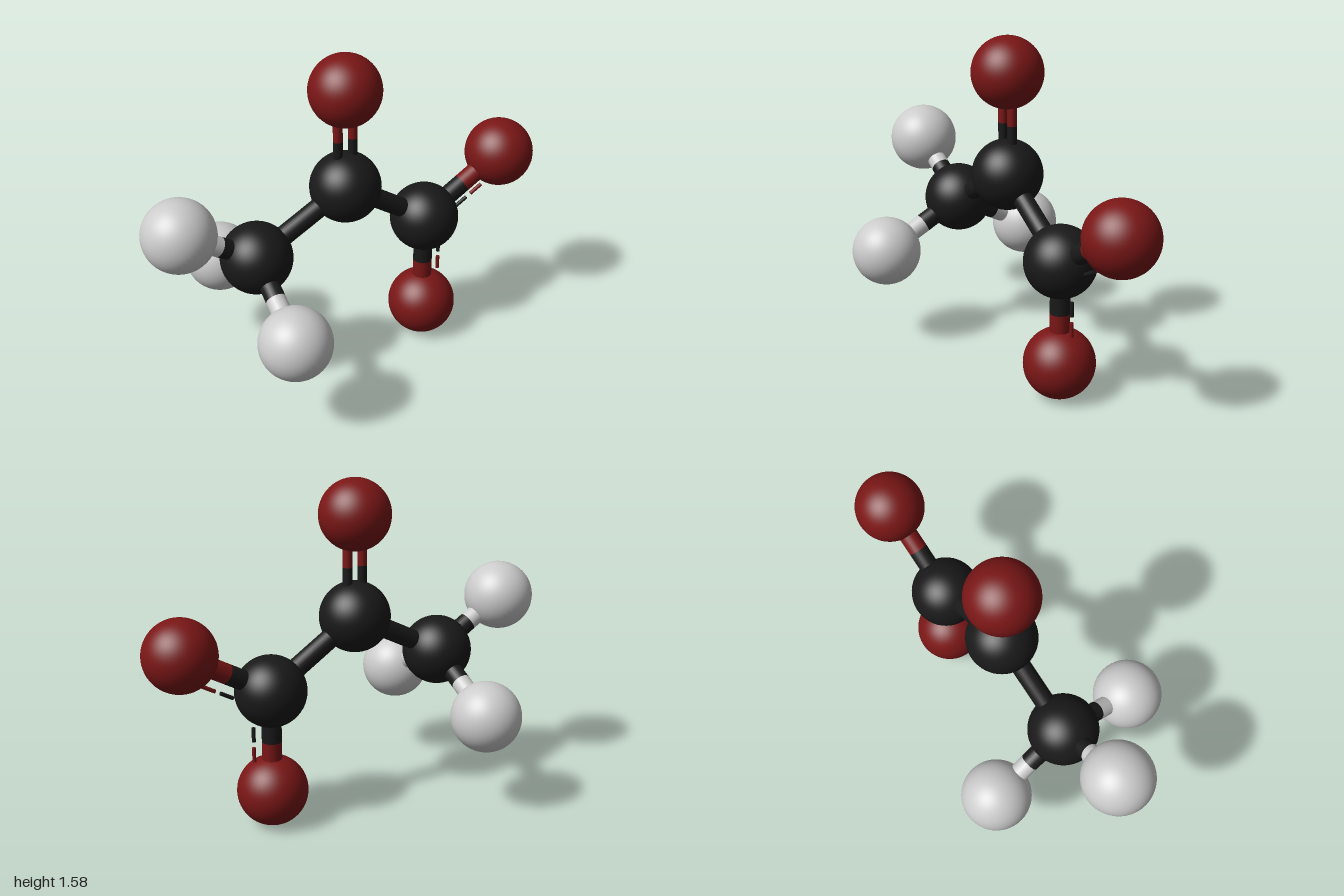
import * as THREE from 'three';

const ATOM_R = 0.165, BOND_R = 0.046, THIN_R = 0.022, DASH_R = 0.009;

const materials = {
  carbon: new THREE.MeshStandardMaterial({ color: 0x191919 }),
  oxygen: new THREE.MeshStandardMaterial({ color: 0x7a1616 }),
  hydrogen: new THREE.MeshStandardMaterial({ color: 0xcccccc }),
};

const atom = (name, element, x, y, z = 0) => ({ name, element, pos: new THREE.Vector3(x, y, z) });

const atoms = {
  methyl: atom('methylCarbon', 'carbon', -0.48, 0.7),
  middle: atom('middleCarbon', 'carbon', -0.024, 0.94),
  end: atom('endCarbon', 'carbon', 0.41, 0.657),
  top: atom('topOxygen', 'oxygen', -0.024, 1.415),
  side: atom('sideOxygen', 'oxygen', 0.832, 0.9),
  bottom: atom('bottomOxygen', 'oxygen', 0.412, 0.168),
  hOuter: atom('outerHydrogen', 'hydrogen', -0.835, 0.922),
  hFront: atom('frontHydrogen', 'hydrogen', -0.494, 0.49, 0.4),
  hBack: atom('backHydrogen', 'hydrogen', -0.494, 0.49, -0.4),
};

// Cylinder covering the fractions t0..t1 of the line from a to b, shifted by offset
function rod(name, a, b, t0, t1, radius, element, offset) {
  const start = a.clone().lerp(b, t0).add(offset);
  const end = a.clone().lerp(b, t1).add(offset);
  const dir = end.clone().sub(start);
  const mesh = new THREE.Mesh(new THREE.CylinderGeometry(radius, radius, dir.length(), 24), materials[element]);
  mesh.position.copy(start).lerp(end, 0.5);
  mesh.quaternion.setFromUnitVectors(new THREE.Vector3(0, 1, 0), dir.normalize());
  mesh.name = name;
  return mesh;
}

// Bond with one half in each atom's colour; shift moves it sideways in the xy plane
function bond(name, from, to, { radius = BOND_R, shift = 0, spans = [[0, 0.5], [0.5, 1]] } = {}) {
  const group = new THREE.Group();
  group.name = name;
  const dir = to.pos.clone().sub(from.pos).normalize();
  const offset = new THREE.Vector3(-dir.y, dir.x, 0).multiplyScalar(shift);
  spans.forEach(([t0, t1], i) => {
    const owner = i === 0 ? from : to;
    group.add(rod(owner.element + 'Half', from.pos, to.pos, t0, t1, radius, owner.element, offset));
  });
  return group;
}

export function createModel() {
  const model = new THREE.Group();
  model.name = 'molecule';

  // Atoms
  const sphere = new THREE.SphereGeometry(ATOM_R, 48, 32);
  for (const { name, element, pos } of Object.values(atoms)) {
    const mesh = new THREE.Mesh(sphere, materials[element]);
    mesh.name = name;
    mesh.position.copy(pos);
    model.add(mesh);
  }

  // Single bonds
  const { methyl, middle, end, top, side, bottom, hOuter, hFront, hBack } = atoms;
  for (const [a, b] of [[methyl, middle], [middle, end], [methyl, hOuter], [methyl, hFront],
    [methyl, hBack], [end, side], [end, bottom]]) {
    model.add(bond(b.name + 'Bond', a, b));
  }

  // Double bond
  for (const shift of [-0.038, 0.038]) {
    model.add(bond('doubleBond', middle, top, { radius: THIN_R, shift }));
  }

  // Dashed partial bonds on the inner side of the two end oxygens
  const spans = [[0.33, 0.47], [0.53, 0.67]];
  model.add(bond('sideDashes', end, side, { radius: DASH_R, shift: -0.09, spans }));
  model.add(bond('bottomDashes', end, bottom, { radius: DASH_R, shift: 0.09, spans }));

  return model;
}
